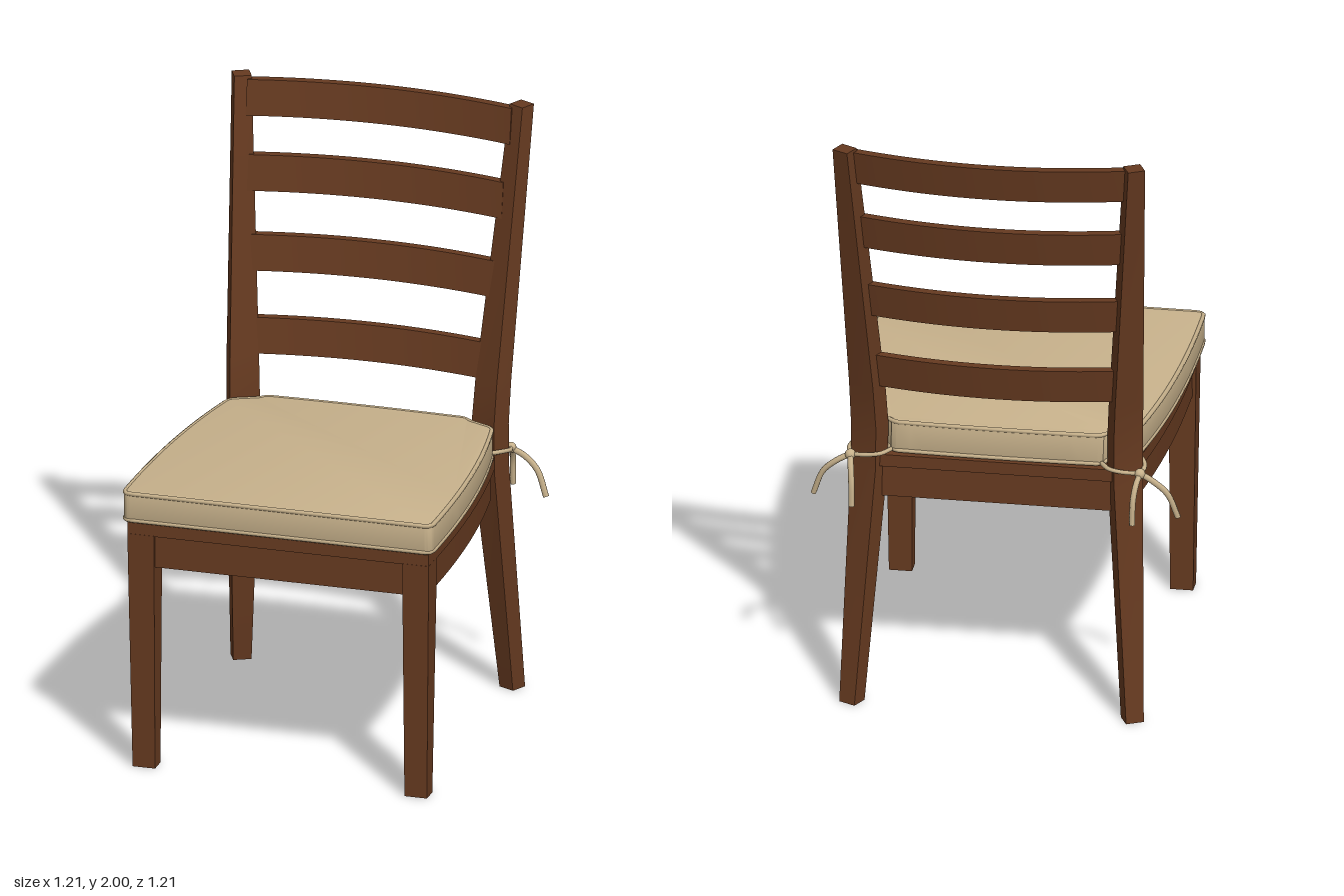
import * as THREE from 'three';
import { toCreasedNormals } from 'three/addons/utils/BufferGeometryUtils.js';

const wood = new THREE.MeshStandardMaterial({ color: 0x663a20 });
wood.name = 'brown wood';
const fabric = new THREE.MeshStandardMaterial({ color: 0xc8b28c });
fabric.name = 'tan fabric';

function mesh(name, geometry, material) {
  const m = new THREE.Mesh(geometry, material);
  m.name = name;
  return m;
}

// Skins a row of closed rings (counterclockwise about the travel direction) and caps both ends.
function loft(rings) {
  const pos = [];
  const tri = (a, b, c) => pos.push(...a, ...b, ...c);
  const n = rings[0].length;
  for (let i = 0; i < rings.length - 1; i++) {
    for (let j = 0; j < n; j++) {
      const k = (j + 1) % n;
      tri(rings[i][j], rings[i][k], rings[i + 1][k]);
      tri(rings[i][j], rings[i + 1][k], rings[i + 1][j]);
    }
  }
  const first = rings[0], last = rings[rings.length - 1];
  for (let j = 1; j < n - 1; j++) {
    tri(last[0], last[j], last[j + 1]);
    tri(first[0], first[j + 1], first[j]);
  }
  const g = new THREE.BufferGeometry();
  g.setAttribute('position', new THREE.Float32BufferAttribute(pos, 3));
  return toCreasedNormals(g, 0.5);
}

// Rectangular ring at height y, turned about the vertical by angle a.
function rectRing(x, y, z, w, d, a = 0) {
  const c = Math.cos(a), s = Math.sin(a);
  return [[1, 1], [1, -1], [-1, -1], [-1, 1]].map(([u, v]) => {
    const p = u * w / 2, q = v * d / 2;
    return [x + p * c - q * s, y, z + p * s + q * c];
  });
}

// Seat plan, drawn counterclockwise as (x, z) ; inset moves every edge inward.
function seatOutline(i, Type = THREE.Shape) {
  const s = new Type();
  s.moveTo(0.51 - i, 0.588 - i);
  s.quadraticCurveTo(0.52 - i, 0.08, 0.45 - i, -0.33 + i * 0.5);
  s.lineTo(0.385 - i * 0.5, -0.415 + i);
  s.lineTo(-0.385 + i * 0.5, -0.415 + i);
  s.lineTo(-0.45 + i, -0.33 + i * 0.5);
  s.quadraticCurveTo(-0.52 + i, 0.08, -0.51 + i, 0.588 - i);
  s.lineTo(0.51 - i, 0.588 - i);
  return s;
}

// Reverses a plan so that it runs as a hole does.
function seatRing(outer, inner) {
  const points = seatOutline(outer).getPoints(14).slice(0, -1);
  const hole = seatOutline(inner, THREE.Path).getPoints(14).slice(0, -1);
  const clockwise = (list) => (THREE.ShapeUtils.isClockWise(list) ? list : list.reverse());
  const s = new THREE.Shape(clockwise(points).reverse());
  s.holes.push(new THREE.Path(clockwise(hole)));
  return s;
}

// Cushion plan with rounded front corners and notches around the rear posts.
function cushionOutline(e) {
  const s = new THREE.Shape();
  const half = (k) => [
    [0.495 * k, 0.606 - e], [(0.529 - e) * k, 0.606 - e], [(0.529 - e) * k, 0.574],
    [(0.533 - e) * k, 0.08], [(0.457 - e) * k, -0.295],
    [(0.452 - e) * k, -0.318], [(0.425 - e) * k, -0.327],
    [(0.375 - e) * k, -0.35], [(0.355 - e) * k, -0.355],
    [(0.352 - e) * k, -0.372], [(0.335 - e) * k, -0.383 + e],
  ];
  const r = half(1), l = half(-1).reverse();
  s.moveTo(...l[10]);
  s.lineTo(...r[0]);
  s.quadraticCurveTo(...r[1], ...r[2]);
  s.quadraticCurveTo(...r[3], ...r[4]);
  s.quadraticCurveTo(...r[5], ...r[6]);
  s.lineTo(...r[7]);
  s.quadraticCurveTo(...r[8], ...r[9]);
  s.lineTo(...r[10]);
  s.quadraticCurveTo(0, -0.395 + e, ...l[0]);
  s.lineTo(...l[1]);
  s.quadraticCurveTo(...l[2], ...l[3]);
  s.lineTo(...l[4]);
  s.quadraticCurveTo(...l[5], ...l[6]);
  s.quadraticCurveTo(...l[7], ...l[8]);
  s.quadraticCurveTo(...l[9], ...l[10]);
  return s;
}

// Extrudes a plan downward from height top.
function slab(shape, top, height, bevel = 0) {
  const g = new THREE.ExtrudeGeometry(shape, {
    depth: height - 2 * bevel, curveSegments: 14, bevelEnabled: bevel > 0,
    bevelThickness: bevel, bevelSize: bevel, bevelOffset: -bevel, bevelSegments: 3,
  });
  g.rotateX(Math.PI / 2);
  g.translate(0, top - bevel, 0);
  return toCreasedNormals(g, 0.4);
}

// The cushion's rear wall slopes back toward its base.
const rearSlope = (y, z) => z - (z < -0.34 ? 0.022 * (0.96 - y) / 0.1 * Math.min(1, (-0.34 - z) / 0.03) : 0);

function tube(points, radius) {
  const curve = new THREE.CatmullRomCurve3(points.map((p) => new THREE.Vector3(...p)));
  return new THREE.TubeGeometry(curve, 20, radius, 6, false);
}

export function createModel() {
  const chair = new THREE.Group();
  chair.name = 'diningChair';

  // Seat board and apron ring beneath it
  chair.add(mesh('seatBoard', slab(seatOutline(0), 0.852, 0.042), wood));
  chair.add(mesh('apron', slab(seatRing(0.013, 0.052), 0.811, 0.111), wood));

  // Post stations: y, x, z, width, depth
  const posts = [
    [0, 0.46, -0.49, 0.06, 0.057], [0.8, 0.42, -0.384, 0.098, 0.07],
    [0.95, 0.419, -0.381, 0.099, 0.07], [1.1, 0.425, -0.397, 0.095, 0.068],
    [2, 0.475, -0.546, 0.057, 0.054],
  ];
  for (const s of [1, -1]) {
    const side = s > 0 ? 'left' : 'right';
    chair.add(mesh(side + 'BackPost', loft(posts.map(([y, x, z, w, d]) => rectRing(s * x, y, z, w, d, 0.46 * s))), wood));
    chair.add(mesh(side + 'FrontLeg', loft([
      rectRing(s * 0.461, 0, 0.54, 0.076, 0.06),
      rectRing(s * 0.466, 0.812, 0.543, 0.09, 0.092),
    ]), wood));

    // Cushion tie: loop around the post, knot and two tails
    const tie = new THREE.Group();
    tie.name = side + 'CushionTie';
    const m = (pts) => pts.map(([x, y, z]) => [x * s, y, z]);
    tie.add(mesh('outerLoop', tube(m([[0.44, 0.868, -0.315], [0.463, 0.868, -0.335], [0.484, 0.86, -0.385], [0.475, 0.852, -0.425]]), 0.008), fabric));
    tie.add(mesh('innerLoop', tube(m([[0.345, 0.868, -0.4], [0.375, 0.865, -0.435], [0.42, 0.858, -0.438], [0.475, 0.852, -0.425]]), 0.008), fabric));
    tie.add(mesh('outerTail', tube(m([[0.475, 0.852, -0.425], [0.52, 0.828, -0.43], [0.565, 0.785, -0.425], [0.598, 0.7, -0.415]]), 0.01), fabric));
    tie.add(mesh('rearTail', tube(m([[0.475, 0.852, -0.425], [0.468, 0.83, -0.465], [0.462, 0.785, -0.49], [0.46, 0.7, -0.5]]), 0.01), fabric));
    const knot = mesh('knot', new THREE.SphereGeometry(0.018, 12, 8), fabric);
    knot.position.set(0.475 * s, 0.852, -0.428);
    tie.add(knot);
    chair.add(tie);
  }

  // Four bowed back slats, leaning with the posts and ending inside them
  [1.99, 1.745, 1.485, 1.215].forEach((top, i) => {
    const end = 0.397 + (top - 1.215) * 0.066;
    const rear = (x, y) => -0.606 + (1.99 - y) * 0.168 + 0.052 * (x / 0.43) ** 2;
    const rings = [];
    for (let k = 0; k <= 20; k++) {
      const x = end * (k / 10 - 1), low = top - 0.118;
      rings.push([
        [x, low, rear(x, low)], [x, top, rear(x, top)],
        [x, top, rear(x, top) + 0.031], [x, low, rear(x, low) + 0.031],
      ]);
    }
    chair.add(mesh('backSlat' + (i + 1), loft(rings), wood));
  });

  // Cushion body
  const body = slab(cushionOutline(0.004), 0.96, 0.106, 0.012);
  const p = body.attributes.position;
  for (let i = 0; i < p.count; i++) p.setZ(i, rearSlope(p.getY(i), p.getZ(i)));
  chair.add(mesh('cushion', body, fabric));

  // Piping around the top and bottom cushion edges
  const plan = cushionOutline(0.007).getSpacedPoints(160).slice(0, -1);
  for (const [name, y] of [['topPiping', 0.954], ['bottomPiping', 0.863]]) {
    const path = new THREE.CatmullRomCurve3(plan.map((q) => new THREE.Vector3(q.x, y, rearSlope(y, q.y))), true);
    chair.add(mesh(name, new THREE.TubeGeometry(path, 240, 0.008, 6, true), fabric));
  }
  return chair;
}
